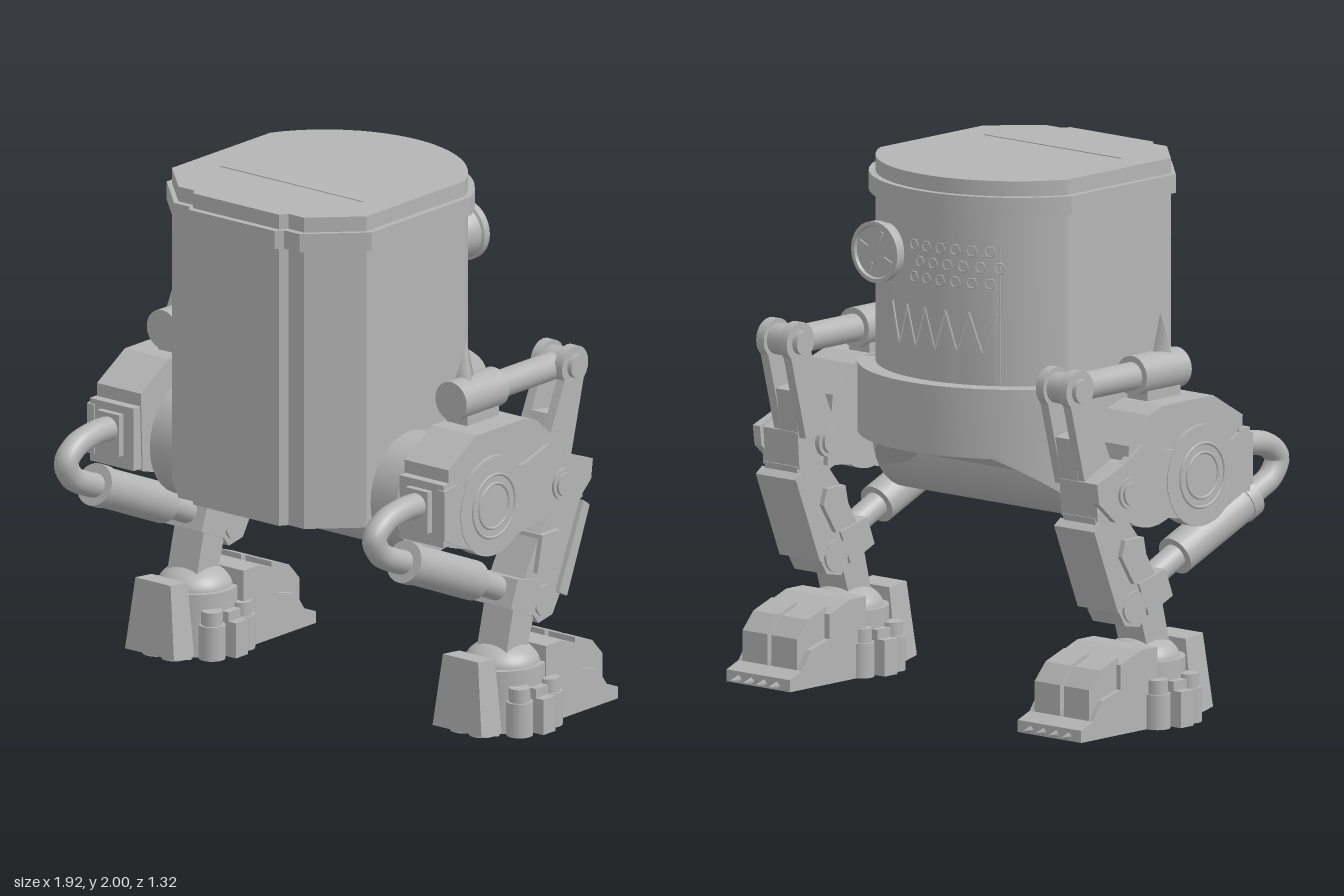
import * as THREE from 'three';
import { toCreasedNormals } from 'three/addons/utils/BufferGeometryUtils.js';

const metal = new THREE.MeshStandardMaterial({ color: 0xb4b4b4 });
metal.name = 'plain grey';

function add(parent, name, geometry) {
  const mesh = new THREE.Mesh(geometry, metal);
  mesh.name = name;
  parent.add(mesh);
  return mesh;
}

// Side profile given as [z, y], extruded across x0..x1
function side(points, x0, x1) {
  const shape = new THREE.Shape(points.map(([z, y]) => new THREE.Vector2(z, y)));
  const g = new THREE.ExtrudeGeometry(shape, { depth: x1 - x0, bevelEnabled: false });
  return g.rotateY(-Math.PI / 2).translate(x1, 0, 0);
}

// Plan outline given as [x, z], extruded over y0..y1
function plan(points, y0, y1) {
  const shape = new THREE.Shape(points.map(([x, z]) => new THREE.Vector2(x, z)));
  const g = new THREE.ExtrudeGeometry(shape, { depth: y1 - y0, bevelEnabled: false });
  return g.rotateX(Math.PI / 2).translate(0, y1, 0);
}

function box(x0, x1, y0, y1, z0, z1) {
  return new THREE.BoxGeometry(x1 - x0, y1 - y0, z1 - z0)
    .translate((x0 + x1) / 2, (y0 + y1) / 2, (z0 + z1) / 2);
}

// Cylinder between two points
function rod(a, b, r, sides = 24) {
  const p = new THREE.Vector3(...a), q = new THREE.Vector3(...b);
  const d = q.clone().sub(p);
  const turn = new THREE.Quaternion().setFromUnitVectors(new THREE.Vector3(0, 1, 0), d.clone().normalize());
  const mid = p.add(q).multiplyScalar(0.5);
  return new THREE.CylinderGeometry(r, r, d.length(), sides).applyQuaternion(turn).translate(mid.x, mid.y, mid.z);
}

// Body plan: chamfered front with a raised panel, straight sides, round back
function bodyOutline(d) {
  const w = 0.49 - d, R = 0.55 - d;
  const pts = [[-w, 0.33], [-0.3, 0.515 - d], [-0.225, 0.515 - d], [-0.205, 0.545 - d],
    [0.205, 0.545 - d], [0.225, 0.515 - d], [0.3, 0.515 - d], [w, 0.33]];
  const a = Math.asin(w / R), n = 24;
  for (let i = 0; i <= n; i++) {
    const t = a - (2 * a * i) / n;
    pts.push([R * Math.sin(t), 0.01 - R * Math.cos(t)]);
  }
  return pts;
}

function addBody(root) {
  const g = new THREE.Group();
  g.name = 'body';
  root.add(g);

  // Shell, with its floor rising towards the back
  const shell = plan(bodyOutline(0.025), 0.8, 1.9);
  const p = shell.attributes.position;
  for (let i = 0; i < p.count; i++) {
    if (p.getY(i) < 1) {
      const k = THREE.MathUtils.clamp((-p.getZ(i) - 0.22) / 0.25, 0, 1);
      p.setY(i, 0.8 + 0.18 * k);
    }
  }
  add(g, 'shell', toCreasedNormals(shell, 0.45));
  add(g, 'rim', toCreasedNormals(plan(bodyOutline(0), 1.87, 1.94), 0.45));
  add(g, 'lid', toCreasedNormals(plan(bodyOutline(0.025), 1.94, 1.997), 0.45));
  add(g, 'lidHinge', box(-0.34, 0.34, 1.994, 2, 0.195, 0.205));

  // Curved band low on the back
  const band = [], a = 0.95, n = 20;
  for (let i = 0; i <= n; i++) {
    const t = -a + (2 * a * i) / n;
    band.push([0.585 * Math.sin(t), -0.585 * Math.cos(t)]);
  }
  for (let i = n; i >= 0; i--) {
    const t = -a + (2 * a * i) / n;
    band.push([0.47 * Math.sin(t), -0.47 * Math.cos(t)]);
  }
  add(g, 'backBand', toCreasedNormals(plan(band, 0.97, 1.23), 0.3));

  // Hip drum
  add(g, 'hipDrum', rod([-0.59, 0.89, 0.085], [0.59, 0.89, 0.085], 0.222, 32));
  add(g, 'hipAxle', rod([-0.65, 0.92, 0.085], [0.65, 0.92, 0.085], 0.14));

  // Round lamp: bowl behind a flat flanged face
  const bowl = [[0, -0.02], [0.06, 0], [0.095, 0.04], [0.105, 0.11], [0.115, 0.115], [0.115, 0.145], [0.1, 0.145], [0.095, 0.135], [0, 0.135]];
  add(g, 'lamp', toCreasedNormals(new THREE.LatheGeometry(bowl.map(([x, y]) => new THREE.Vector2(x, y)), 32), 0.6)
    .rotateX(-Math.PI / 2).translate(0.2, 1.685, -0.412));
  for (let i = 0; i < 4; i++) {
    const bar = new THREE.BoxGeometry(0.04, 0.01, 0.008).translate(0.065, 0, 0).rotateZ(i * Math.PI / 2 + 0.4);
    add(g, 'lampBar', bar.translate(0.2, 1.685, -0.55));
  }

  // Perforated grille and jagged mouth, wrapped round the back
  const onBack = (x, r = 0.527) => 0.01 - Math.sqrt(r * r - x * x);
  for (let row = 0; row < 3; row++) {
    for (let i = 0; i < 6; i++) {
      const x = 0.04 - i * 0.062 - (row % 2) * 0.03;
      const ring = new THREE.TorusGeometry(0.02, 0.004, 4, 6).rotateY(Math.asin(-x / 0.525));
      add(g, 'grilleHole', ring.translate(x, 1.61 + row * 0.06, onBack(x)));
    }
  }
  for (let i = 0; i < 10; i++) {
    const x0 = 0.17 - i * 0.046, x1 = x0 - 0.046;
    const y0 = i % 2 ? 1.35 : 1.5, y1 = i % 2 ? 1.5 : 1.35;
    add(g, 'mouthEdge', rod([x0, y0, onBack(x0)], [x1, y1, onBack(x1)], 0.005, 4));
  }
  add(g, 'backSeam', rod([-0.3, 1.23, onBack(-0.3, 0.524)], [-0.3, 1.76, onBack(-0.3, 0.524)], 0.004, 4));
}

function addFoot(leg) {
  const g = new THREE.Group();
  g.name = 'foot';
  leg.add(g);
  const cx = 0.735, cz = -0.125;

  // Ankle drum and dome, ringed by bolts
  add(g, 'ankleDrum', new THREE.CylinderGeometry(0.16, 0.16, 0.24, 32).translate(cx, 0.12, cz));
  add(g, 'ankleDome', new THREE.SphereGeometry(0.14, 32, 12, 0, Math.PI * 2, 0, Math.PI / 2)
    .scale(1, 0.6, 1).translate(cx, 0.235, cz));
  for (const deg of [29, -29, 151, 209, 75, 105, -75, -105]) {
    const t = deg * Math.PI / 180, x = cx + 0.175 * Math.cos(t), z = cz + 0.175 * Math.sin(t);
    add(g, 'bolt', new THREE.CylinderGeometry(0.05, 0.05, 0.13, 16).translate(x, 0.065, z));
    add(g, 'boltCap', new THREE.CylinderGeometry(0.04, 0.04, 0.055, 16).translate(x, 0.155, z));
  }
  add(g, 'sideLug', box(cx - 0.225, cx + 0.225, 0, 0.135, cz - 0.035, cz + 0.035));
  add(g, 'sideLugTop', box(cx - 0.19, cx + 0.19, 0.13, 0.17, cz - 0.035, cz + 0.035));

  // Tapered plate at the front
  const plate = side([[0.02, 0.02], [0.04, 0.005], [0.135, 0.025], [0.115, 0.3], [0.02, 0.29]], -0.12, 0.12);
  const p = plate.attributes.position;
  for (let i = 0; i < p.count; i++) p.setX(i, cx + p.getX(i) * (1 - 1.0 * p.getY(i)));
  plate.computeVertexNormals();
  add(g, 'frontPlate', plate);

  // Heel block with two toes and small claws
  add(g, 'heelBlock', side([[-0.2, 0], [-0.2, 0.3], [-0.29, 0.3], [-0.4, 0.26], [-0.4, 0]], 0.565, 0.88));
  add(g, 'heelBase', side([[-0.39, 0], [-0.39, 0.17], [-0.5, 0.14], [-0.55, 0.07], [-0.615, 0.045], [-0.615, 0]], 0.565, 0.88));
  for (const x of [0.59, 0.735]) {
    add(g, 'toe', side([[-0.39, 0.05], [-0.39, 0.285], [-0.49, 0.25], [-0.55, 0.185], [-0.55, 0.05]], x, x + 0.125));
  }
  for (let i = 0; i < 4; i++) {
    const claw = new THREE.ConeGeometry(0.022, 0.07, 4).rotateX(-Math.PI / 2);
    add(g, 'claw', claw.translate(0.63 + i * 0.063, 0.018, -0.625));
  }
}

function addLeg(root, mirror) {
  const g = new THREE.Group();
  g.name = mirror > 0 ? 'leftLeg' : 'rightLeg';
  g.scale.x = mirror;
  root.add(g);

  // Thigh
  add(g, 'thigh', side([[0.3, 0.79], [0.31, 1.09], [0.15, 1.185], [-0.12, 1.185], [-0.2, 1.16], [-0.31, 1.06],
    [-0.34, 0.8], [-0.24, 0.79], [0.1, 0.73]], 0.63, 0.84));
  add(g, 'thighPlate', side([[0.35, 0.83], [0.35, 1.02], [0.28, 1.03], [0.22, 1.0], [-0.12, 1.02], [-0.25, 1.06], [-0.35, 1.0], [-0.5, 0.945],
    [-0.49, 0.87], [-0.4, 0.79], [-0.26, 0.79], [0.13, 0.725]], 0.82, 0.855));
  add(g, 'thighDisc', rod([0.8, 0.9, 0.07], [0.858, 0.9, 0.07], 0.19, 32));
  for (const r of [0.12, 0.085]) {
    add(g, 'discRing', new THREE.TorusGeometry(r, 0.006, 6, 32).rotateY(Math.PI / 2).translate(0.858, 0.9, 0.07));
  }
  add(g, 'thighFront', box(0.635, 0.845, 0.8, 1.04, 0.28, 0.345));
  add(g, 'hoseSocket', box(0.685, 0.79, 0.85, 1.01, 0.34, 0.37));

  // Knee
  add(g, 'kneeBlock', side([[-0.2, 0.82], [-0.2, 1.02], [-0.35, 1.0], [-0.48, 0.94], [-0.47, 0.8], [-0.33, 0.77]], 0.65, 0.83));
  add(g, 'kneePin', rod([0.615, 0.89, -0.325], [0.875, 0.89, -0.325], 0.045));
  add(g, 'kneeCollar', rod([0.63, 0.89, -0.325], [0.865, 0.89, -0.325], 0.06));

  // Shank
  add(g, 'shank', side([[-0.14, 0.545], [-0.23, 0.7], [-0.33, 0.82], [-0.475, 0.81], [-0.45, 0.68], [-0.35, 0.45],
    [-0.31, 0.385], [-0.23, 0.37], [-0.19, 0.42]], 0.66, 0.82));
  add(g, 'shankPlate', side([[-0.5, 0.765], [-0.465, 0.79], [-0.325, 0.47], [-0.37, 0.445]], 0.64, 0.84));
  add(g, 'shankPad', side([[-0.2, 0.57], [-0.23, 0.71], [-0.33, 0.71], [-0.35, 0.65], [-0.28, 0.54]], 0.64, 0.84));
  add(g, 'anklePin', rod([0.65, 0.45, -0.265], [0.83, 0.45, -0.265], 0.06));
  add(g, 'ankleNeck', side([[-0.1, 0.46], [-0.22, 0.42], [-0.17, 0.26], [-0.05, 0.26]], 0.67, 0.81));

  // Lower piston with its hose
  add(g, 'pistonBarrel', rod([0.74, 0.745, 0.43], [0.74, 0.585, 0.05], 0.075));
  add(g, 'pistonCap', rod([0.74, 0.752, 0.445], [0.74, 0.732, 0.398], 0.08));
  add(g, 'pistonRod', rod([0.74, 0.6, 0.08], [0.74, 0.5, -0.14], 0.048));
  add(g, 'pistonClevis', side([[-0.06, 0.465], [-0.1, 0.57], [-0.245, 0.535], [-0.19, 0.41]], 0.65, 0.83));
  const path = [[0.34, 0.95], [0.46, 0.95], [0.56, 0.925], [0.61, 0.875], [0.575, 0.81], [0.5, 0.77], [0.42, 0.74]];
  const curve = new THREE.CatmullRomCurve3(path.map(([z, y]) => new THREE.Vector3(0.737, y, z)));
  add(g, 'hose', new THREE.TubeGeometry(curve, 32, 0.046, 16));

  // Upper actuator with a spike
  const ax = 0.69, ay = 1.278;
  add(g, 'actuatorBarrel', rod([ax, ay, 0.115], [ax, ay, -0.13], 0.075));
  add(g, 'actuatorRod', rod([ax, ay, -0.12], [ax, ay, -0.47], 0.052));
  add(g, 'spike', new THREE.ConeGeometry(0.046, 0.16, 3).rotateY(Math.PI).translate(ax, 1.41, 0.025));
  add(g, 'actuatorMount', box(0.64, 0.74, 1.15, 1.25, -0.1, 0.08));

  // Link from actuator down to the knee
  add(g, 'linkEye', rod([0.65, 1.285, -0.5], [0.735, 1.285, -0.5], 0.058));
  add(g, 'linkPin', rod([0.595, 1.285, -0.5], [0.79, 1.285, -0.5], 0.045));
  for (const x of [0.618, 0.732]) {
    add(g, 'linkCheek', rod([x, 1.285, -0.5], [x + 0.038, 1.285, -0.5], 0.075));
    add(g, 'linkBar', side([[-0.3, 0.93], [-0.45, 1.26], [-0.555, 1.25], [-0.47, 0.92]], x, x + 0.038));
  }
  add(g, 'linkWeb', side([[-0.3, 0.9], [-0.385, 1.12], [-0.51, 1.1], [-0.47, 0.9]], 0.65, 0.74));

  addFoot(g);
}

export function createModel() {
  const root = new THREE.Group();
  root.name = 'walkingRobot';
  addBody(root);
  for (const mirror of [1, -1]) addLeg(root, mirror);
  return root;
}
